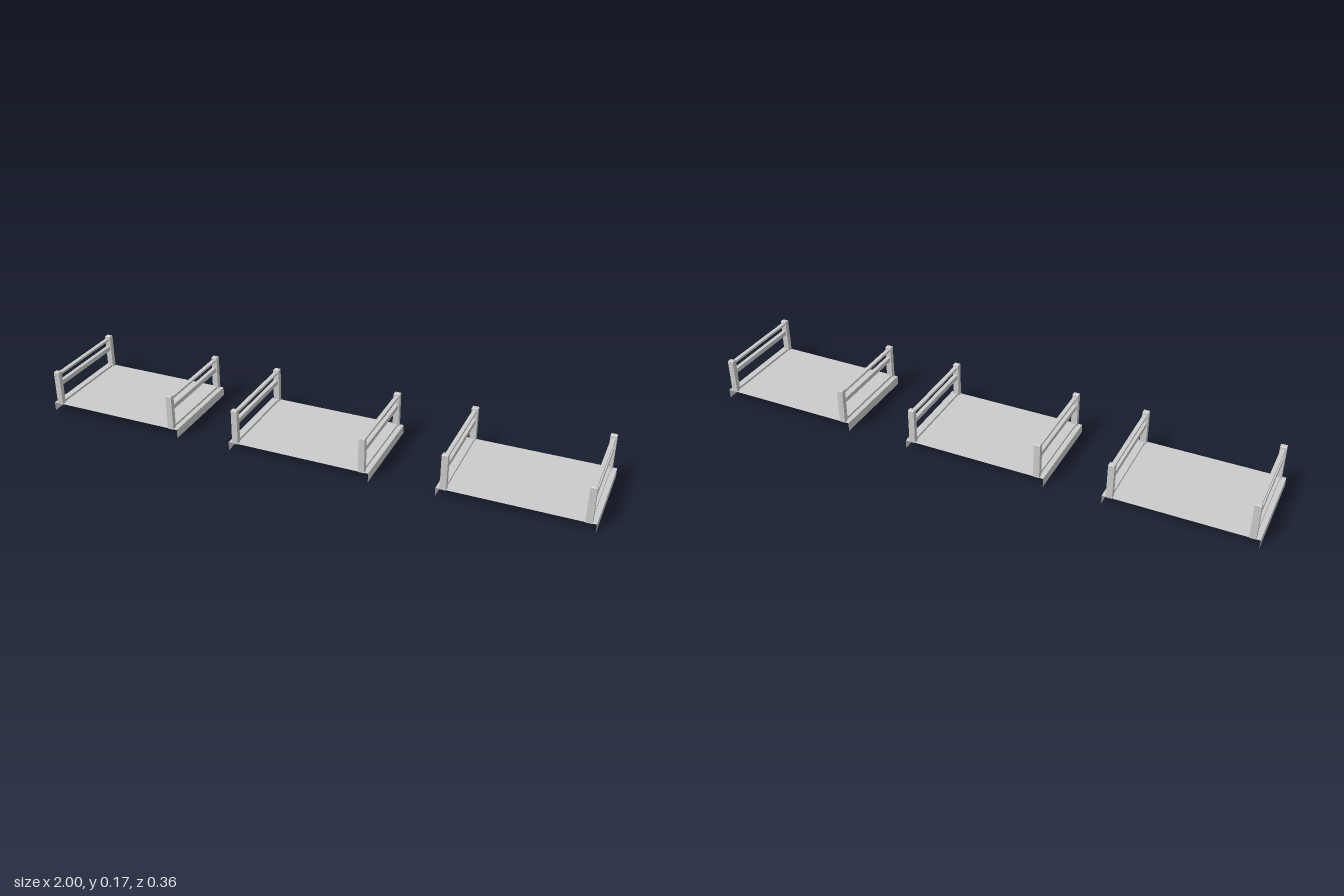
import * as THREE from 'three';

const material = new THREE.MeshStandardMaterial({ color: 0xcccccc, flatShading: true });
const sheetMaterial = new THREE.MeshStandardMaterial({ color: 0xcccccc, side: THREE.DoubleSide });

const HALF_LENGTH = 0.26, HALF_WIDTH = 0.177;
const DECK_Y = 0.033, RAILING_X = 0.235;

function add(parent, name, geometry, mat, x, y, z) {
  const mesh = new THREE.Mesh(geometry, mat);
  mesh.name = name;
  mesh.position.set(x, y, z);
  parent.add(mesh);
  return mesh;
}

// Square post with slightly chamfered ends, its foot at y = 0
function postGeometry(width, height, depth, bevel) {
  const w = width / 2 - bevel, d = depth / 2 - bevel;
  const outline = new THREE.Shape([
    new THREE.Vector2(-w, -d), new THREE.Vector2(w, -d),
    new THREE.Vector2(w, d), new THREE.Vector2(-w, d),
  ]);
  const geometry = new THREE.ExtrudeGeometry(outline, {
    depth: height - 2 * bevel, bevelEnabled: true,
    bevelThickness: bevel, bevelSize: bevel, bevelSegments: 1,
  });
  return geometry.translate(0, 0, bevel).rotateX(-Math.PI / 2);
}

// Two posts joined by three rails
function createRailing() {
  const railing = new THREE.Group();
  railing.name = 'railing';
  const post = postGeometry(0.022, 0.132, 0.018, 0.0015);
  for (const side of [-1, 1]) add(railing, 'post', post, material, 0, 0.03, side * 0.168);
  const rails = [
    ['bottomRail', 0.03, 0.041],
    ['middleRail', 0.104, 0.121],
    ['topRail', 0.146, 0.154],
  ];
  for (const [name, low, high] of rails) {
    add(railing, name, new THREE.BoxGeometry(0.014, high - low, 0.322), material, 0, (low + high) / 2, 0);
  }
  return railing;
}

// Thin deck, a skirt hanging from each end, and a railing above each skirt
function createPlatform() {
  const platform = new THREE.Group();
  platform.name = 'platform';
  const deck = new THREE.PlaneGeometry(2 * HALF_LENGTH, 2 * HALF_WIDTH).rotateX(-Math.PI / 2);
  add(platform, 'deck', deck, sheetMaterial, 0, DECK_Y, 0);
  const skirt = new THREE.PlaneGeometry(2 * HALF_WIDTH, DECK_Y).rotateY(Math.PI / 2);
  for (const side of [-1, 1]) {
    add(platform, 'skirt', skirt, sheetMaterial, side * HALF_LENGTH, DECK_Y / 2, 0);
    const railing = createRailing();
    railing.position.x = side * RAILING_X;
    platform.add(railing);
  }
  return platform;
}

export function createModel() {
  const model = new THREE.Group();
  model.name = 'platforms';
  // Three platforms in a row, the last one slightly raised
  for (const [x, y, z] of [[-0.74, 0, 0.001], [-0.013, 0, 0.001], [0.74, 0.004, -0.001]]) {
    const platform = createPlatform();
    platform.position.set(x, y, z);
    model.add(platform);
  }
  return model;
}
